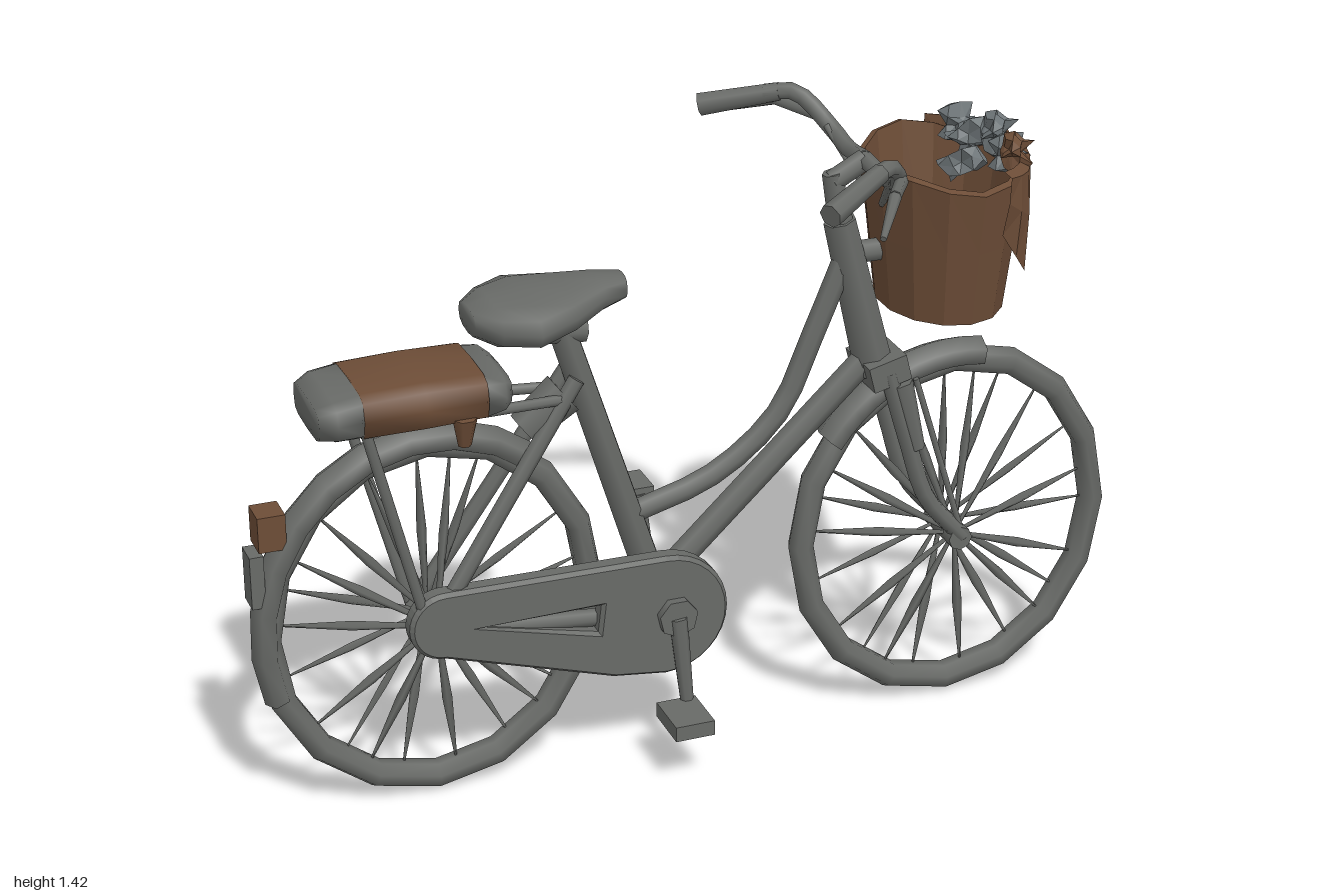
import * as THREE from 'three';

const mat = (name, color) => {
  const m = new THREE.MeshStandardMaterial({ color, side: THREE.DoubleSide });
  m.name = name;
  return m;
};
const V = (p) => new THREE.Vector3(...p);

export function createModel() {
  const root = new THREE.Group();
  const grey = mat('metalGrey', 0x686a67);
  const brown = mat('wickerBrown', 0x6d4d37);
  const bloom = mat('flowerGrey', 0x6c7376);

  const add = (name, geo, m = grey, parent = root) => {
    const mesh = new THREE.Mesh(geo, m);
    mesh.name = name;
    parent.add(mesh);
    return mesh;
  };
  // straight, optionally tapered, tube between two points
  const bar = (name, a, b, r0, r1 = r0, m = grey, parent = root, sides = 7) => {
    const p = V(a), d = V(b).sub(p);
    const mesh = add(name, new THREE.CylinderGeometry(r1, r0, d.length(), sides), m, parent);
    mesh.position.copy(p).addScaledVector(d, 0.5);
    mesh.quaternion.setFromUnitVectors(new THREE.Vector3(0, 1, 0), d.normalize());
    return mesh;
  };
  const tube = (name, pts, r, m = grey, parent = root) =>
    add(name, new THREE.TubeGeometry(new THREE.CatmullRomCurve3(pts.map(V)), 12, r, 7), m, parent);
  const box = (name, size, pos, m = grey) => {
    const mesh = add(name, new THREE.BoxGeometry(...size), m);
    mesh.position.set(...pos);
    return mesh;
  };
  // rounded body from sections [x, bottom, top, halfWidth]
  const loft = (secs, power, n = 12) => {
    const pos = [], idx = [];
    const f = (v) => Math.sign(v) * Math.abs(v) ** power;
    secs.forEach(([x, lo, hi, w]) => {
      for (let j = 0; j < n; j++) {
        const a = (j / n) * Math.PI * 2;
        pos.push(x, (lo + hi) / 2 + f(Math.sin(a)) * (hi - lo) / 2, f(Math.cos(a)) * w);
      }
    });
    for (let i = 0; i < secs.length - 1; i++) for (let j = 0; j < n; j++) {
      const a = i * n + j, b = i * n + (j + 1) % n;
      idx.push(a, a + n, b, b, a + n, b + n);
    }
    const last = (secs.length - 1) * n;
    for (let j = 1; j < n - 1; j++) idx.push(0, j, j + 1, last, last + j + 1, last + j);
    const g = new THREE.BufferGeometry();
    g.setAttribute('position', new THREE.Float32BufferAttribute(pos, 3));
    g.setIndex(idx);
    g.computeVertexNormals();
    return g;
  };
  // move each vertex by a rule and give crisp facets
  const warp = (geo, rule) => {
    const g = geo.index ? geo.toNonIndexed() : geo, p = g.attributes.position, v = new THREE.Vector3();
    for (let i = 0; i < p.count; i++) {
      v.fromBufferAttribute(p, i);
      rule(v);
      p.setXYZ(i, v.x, v.y, v.z);
    }
    g.computeVertexNormals();
    return g;
  };

  // wheels: slightly oval tyre, hub and blade-like spokes
  const blade = new THREE.LatheGeometry(
    [[0.004, 0], [0.008, 0.12], [0.011, 0.2], [0.001, 0.4]].map((p) => new THREE.Vector2(...p)), 4);
  const fenderArc = (name, x, from, to) => {
    const g = new THREE.TorusGeometry(0.408, 0.035, 6, 10, to - from);
    g.rotateZ(from).scale(0.9, 1, 1.25);
    add(name, g).position.set(x, 0.44, 0);
  };
  for (const [side, x] of [['rear', -0.605], ['front', 0.61]]) {
    const wheel = new THREE.Group();
    wheel.name = side + 'Wheel';
    wheel.position.set(x, 0.437, 0);
    root.add(wheel);
    add('tyre', new THREE.TorusGeometry(0.4, 0.032, 7, 16).scale(0.9, 1, 1), grey, wheel);
    bar('hub', [0, -0.017, -0.07], [0, -0.017, 0.07], 0.028, 0.028, grey, wheel, 8);
    for (let i = 0; i < 22; i++) {
      const a = ((i + 0.3 * Math.sin(i * 5)) / 22) * Math.PI * 2, z = i % 2 ? 0.035 : -0.035;
      const d = new THREE.Vector3(0.36 * Math.cos(a), 0.4 * Math.sin(a) + 0.017, -z);
      const s = add('spoke', blade, grey, wheel);
      s.position.set(0, -0.017, z);
      s.scale.y = d.length() / 0.4;
      s.quaternion.setFromUnitVectors(new THREE.Vector3(0, 1, 0), d.normalize());
    }
  }
  fenderArc('rearFender', -0.605, 0.9, 3.5);
  fenderArc('frontFender', 0.61, 1.4, 2.5);
  box('mudFlap', [0.03, 0.12, 0.06], [-0.985, 0.59, 0]);
  box('rearReflector', [0.06, 0.08, 0.07], [-0.95, 0.7, 0], brown);

  // step-through frame
  bar('seatTube', [-0.09, 0.38, 0], [-0.31, 1.08, 0], 0.034, 0.03);
  bar('downTube', [-0.08, 0.42, 0], [0.41, 0.88, 0], 0.03);
  tube('topTube', [[-0.15, 0.59, 0], [0.04, 0.65, 0], [0.19, 0.77, 0], [0.27, 0.94, 0], [0.35, 1.13, 0]], 0.025);
  bar('headTube', [0.42, 0.84, 0], [0.33, 1.2, 0], 0.045, 0.036);
  bar('stem', [0.34, 1.16, 0], [0.31, 1.31, 0], 0.03, 0.022);
  bar('stemArm', [0.31, 1.29, 0], [0.385, 1.33, 0], 0.024);
  bar('bottomBracket', [-0.08, 0.37, -0.1], [-0.08, 0.37, 0.11], 0.045);
  box('forkCrown', [0.09, 0.06, 0.13], [0.43, 0.85, 0]).rotation.z = 0.25;

  for (const s of [1, -1]) {
    tube('forkLeg', [[0.43, 0.85, 0.05 * s], [0.48, 0.68, 0.052 * s], [0.53, 0.53, 0.055 * s], [0.62, 0.42, 0.055 * s]], 0.02);
    bar('brakeShoe', [0.46, 0.82, 0.05 * s], [0.5, 0.66, 0.06 * s], 0.028, 0.018);
    bar('fenderStay', [0.62, 0.42, 0.06 * s], [0.5, 0.82, 0.045 * s], 0.007);
    bar('chainStay', [-0.1, 0.36, 0.04 * s], [-0.61, 0.42, 0.065 * s], 0.02);
    bar('seatStay', [-0.28, 0.94, 0.03 * s], [-0.63, 0.42, 0.065 * s], 0.019);
    bar('rackStay', [-0.76, 0.93, 0.1 * s], [-0.63, 0.42, 0.07 * s], 0.012);
    bar('rackRail', [-0.82, 0.92, 0.08 * s], [-0.3, 0.9, 0.035 * s], 0.012);

    // handlebar, grip and brake lever
    tube('handlebar', [[0.385, 1.33, 0], [0.39, 1.32, 0.1 * s], [0.385, 1.34, 0.17 * s], [0.33, 1.405, 0.25 * s], [0.27, 1.4, 0.285 * s]], 0.019);
    bar('grip', [0.3, 1.405, 0.27 * s], [0.15, 1.365, 0.36 * s], 0.021, 0.026);
    bar('brakeLever', [0.37, 1.36, 0.22 * s], [0.31, 1.37, 0.32 * s], 0.015, 0.013);
    bar('brakeLeverTip', [0.31, 1.37, 0.32 * s], [0.24, 1.325, 0.42 * s], 0.014, 0.007);
    bar('cable', [0.37, 1.35, 0.17 * s], [0.41, 1.24, 0.04 * s], 0.008);
  }
  bar('frameLock', [-0.3, 0.9, 0], [-0.39, 0.83, 0], 0.05, 0.04);

  // chain case: tapered outline with a hollow behind the chain run
  const outline = new THREE.Shape();
  outline.moveTo(-0.58, 0.51);
  outline.lineTo(-0.1, 0.505);
  outline.absarc(-0.1, 0.37, 0.135, Math.PI / 2, -Math.PI / 2, true);
  outline.lineTo(-0.22, 0.25);
  outline.lineTo(-0.6, 0.37);
  outline.absarc(-0.6, 0.44, 0.07, -Math.PI / 2, -Math.PI * 1.5, true);
  const gap = new THREE.Path();
  [[-0.54, 0.425], [-0.25, 0.35], [-0.24, 0.43]].forEach(([x, y], i) => (i ? gap.lineTo(x, y) : gap.moveTo(x, y)));
  outline.holes.push(gap);
  add('chainCase', new THREE.ExtrudeGeometry(outline, {
    depth: 0.03, curveSegments: 8, bevelSize: 0.008, bevelThickness: 0.01, bevelSegments: 1,
  })).position.z = 0.05;

  // cranks and pedals
  bar('leftCrank', [-0.08, 0.37, 0.1], [-0.06, 0.15, 0.105], 0.022, 0.015);
  box('leftPedal', [0.09, 0.035, 0.12], [-0.085, 0.15, 0.16]);
  bar('rightCrank', [-0.08, 0.37, -0.085], [-0.1, 0.59, -0.085], 0.022, 0.015);
  box('rightPedal', [0.075, 0.04, 0.09], [-0.105, 0.585, -0.12]);

  // saddle
  add('saddle', loft([[-0.505, 1.07, 1.13, 0.06], [-0.46, 1.05, 1.145, 0.11], [-0.39, 1.05, 1.15, 0.15],
    [-0.3, 1.06, 1.155, 0.105], [-0.22, 1.085, 1.16, 0.055], [-0.165, 1.1, 1.155, 0.035]], 0.8));
  bar('saddleClamp', [-0.36, 1.05, 0], [-0.25, 1.04, 0], 0.03);

  // luggage roll on the rack with a brown wrap and hanging strap
  add('luggageRear', loft([[-0.855, 0.91, 0.985, 0.1], [-0.82, 0.91, 1.0, 0.12], [-0.76, 0.91, 1.01, 0.12]], 0.5));
  add('luggageWrap', loft([[-0.765, 0.905, 1.012, 0.122], [-0.63, 0.905, 1.017, 0.123], [-0.5, 0.91, 1.014, 0.122]], 0.5), brown);
  add('luggageFront', loft([[-0.505, 0.91, 1.01, 0.12], [-0.46, 0.92, 1.005, 0.115], [-0.44, 0.93, 0.99, 0.09]], 0.5));
  bar('strapEnd', [-0.55, 0.93, 0.105], [-0.55, 0.865, 0.1], 0.028, 0.015, brown);
  bar('strapTail', [-0.57, 0.93, -0.11], [-0.57, 0.78, -0.105], 0.022, 0.006, brown);

  // front basket with uneven rim
  const basket = new THREE.Group();
  basket.name = 'frontBasket';
  basket.position.x = 0.565;
  root.add(basket);
  const prof = (pts) => pts.map((p) => new THREE.Vector2(...p));
  const wall = new THREE.LatheGeometry(prof([[0.175, 0.99], [0.2, 1.16], [0.222, 1.31], [0.205, 1.315], [0.16, 1.01]]), 14);
  add('basketWall', warp(wall, (v) => {
    if (v.y > 1.3) v.y += 0.012 * Math.sin(Math.atan2(v.z, v.x) * 3);
    v.x *= 0.76;
  }), brown, basket);
  add('basketFloor', new THREE.CylinderGeometry(0.174, 0.174, 0.02, 14).scale(0.76, 1, 1), grey, basket).position.y = 1.002;
  // crumpled cloth draped over the basket front
  const drape = new THREE.LatheGeometry(prof([[0.205, 1.335], [0.23, 1.325], [0.232, 1.25], [0.22, 1.15]]), 12, 0.35, 2.45);
  add('basketDrape', warp(drape, (v) => {
    const a = Math.atan2(v.z, v.x), k = (1.34 - v.y) / 0.19;
    const r = 1 + 0.06 * k * Math.sin(a * 9);
    v.set(v.x * 0.78 * r, v.y + 0.06 * k * Math.sin(a * 5 + 1), v.z * r);
  }), brown, basket);
  bar('basketBracket', [0.36, 1.12, 0], [0.44, 1.12, 0], 0.025);

  // ragged flower bunch
  const clump = (name, [x, y, z], r, m) => {
    const g = warp(new THREE.IcosahedronGeometry(r, 1), (v) =>
      v.multiplyScalar(0.85 + 0.45 * Math.sin((v.x * 91 + v.y * 57 + v.z * 73) / r + x * 40 + z * 60)));
    add(name, g, m).position.set(x, y, z);
  };
  [[0.69, 1.35, 0.0], [0.66, 1.33, -0.06], [0.67, 1.33, -0.13], [0.7, 1.32, 0.06], [0.63, 1.28, -0.03]]
    .forEach((p) => clump('flower', p, 0.045, bloom));
  [[0.68, 1.345, 0.11], [0.71, 1.32, -0.08]].forEach((p) => clump('driedFlower', p, 0.04, brown));
  return root;
}
